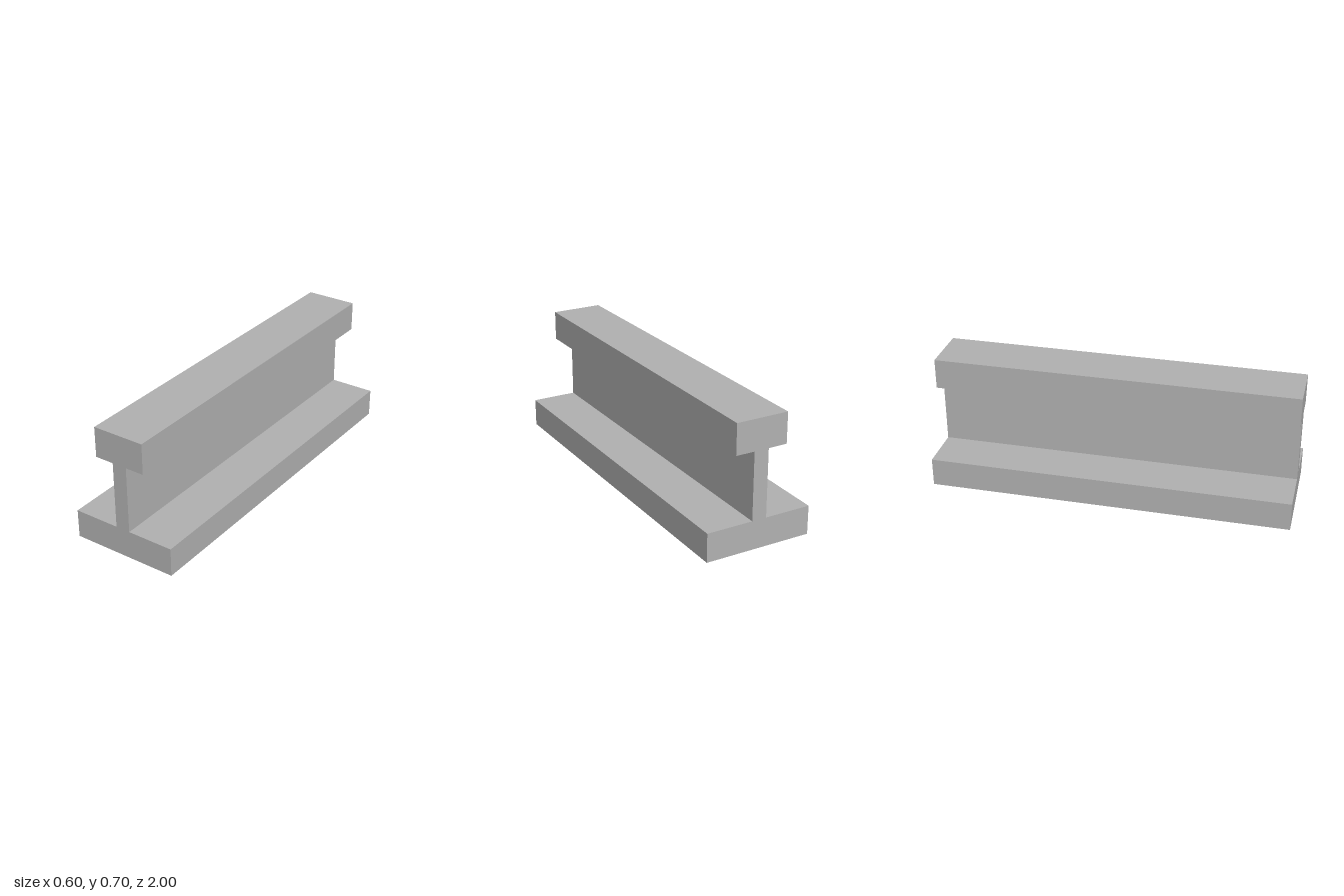
import * as THREE from 'three';

export function createModel() {
  const group = new THREE.Group();
  group.name = 'railBeam';
  const steel = new THREE.MeshStandardMaterial({ color: 0xb2b2b2 });
  steel.name = 'steelGrey';

  // Right half of the cross-section, from the foot up to the head
  const half = [
    [0.3, 0], [0.3, 0.159],
    [0.041, 0.159], [0.041, 0.533],
    [0.146, 0.533], [0.146, 0.702],
  ];
  const mirrored = half.map(([x, y]) => [-x, y]).reverse();
  const profile = new THREE.Shape([...half, ...mirrored].map(([x, y]) => new THREE.Vector2(x, y)));

  // Foot, web and head run as one solid along z
  const length = 2;
  const geometry = new THREE.ExtrudeGeometry(profile, { depth: length, bevelEnabled: false });
  geometry.translate(0, 0, -length / 2);
  const rail = new THREE.Mesh(geometry, steel);
  rail.name = 'rail';
  group.add(rail);
  return group;
}
